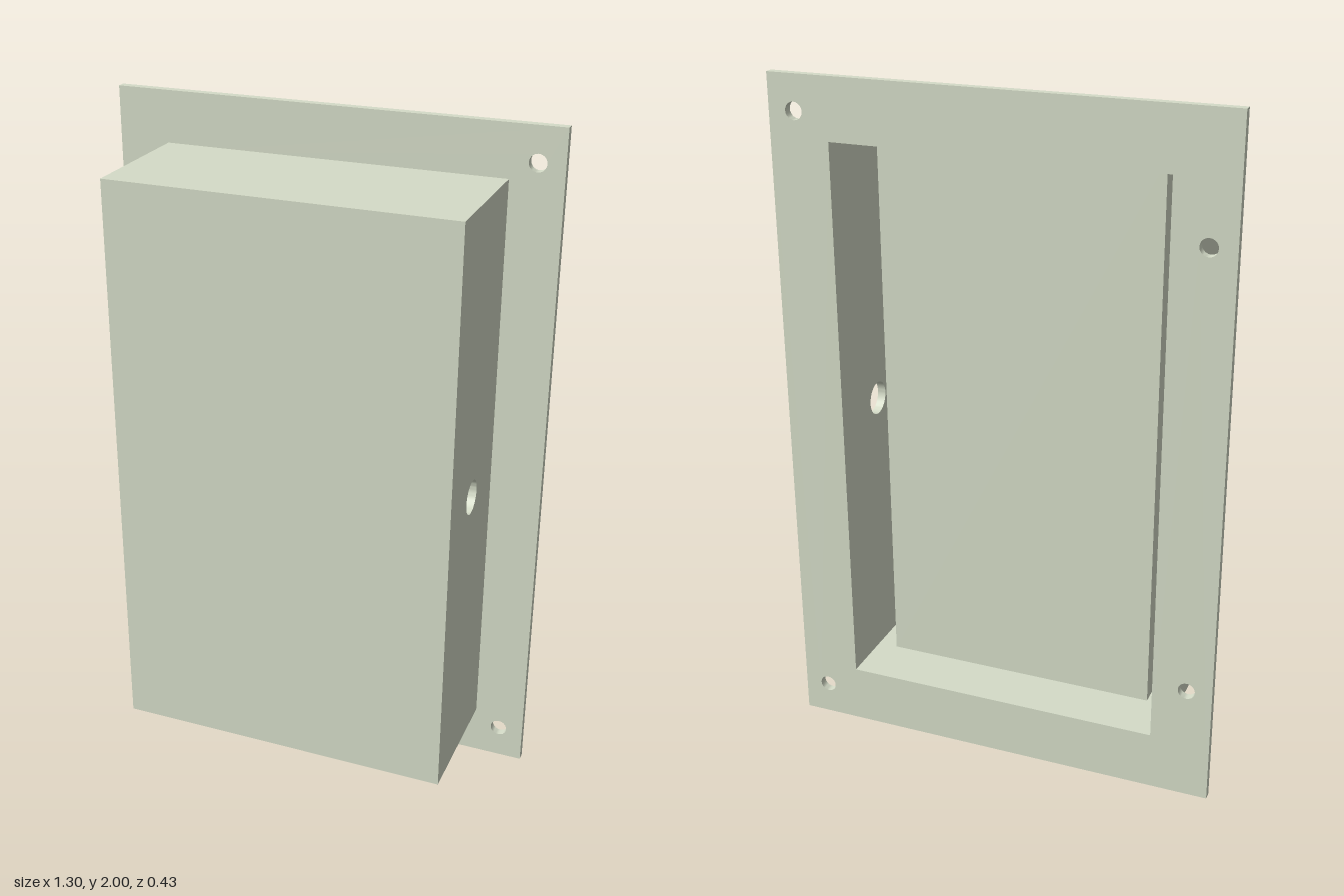
import * as THREE from 'three';
import { toCreasedNormals } from 'three/addons/utils/BufferGeometryUtils.js';

const W = 1.0, H = 1.7;               // outer size of the box
const T = 0.025;                      // thickness of flange and walls
const CY = 1.0;                       // height of the centre
const BACK = -0.2125, FRONT = 0.2125;
const SEAT = BACK + T;                // where the box meets the flange

const material = new THREE.MeshStandardMaterial({ color: 0xd5dcc8 });

function rect(target, x0, y0, x1, y1) {
  target.moveTo(x0, y0);
  target.lineTo(x1, y0);
  target.lineTo(x1, y1);
  target.lineTo(x0, y1);
  target.closePath();
  return target;
}

function roundHole(x, y, r) {
  return new THREE.Path().absarc(x, y, r, 0, Math.PI * 2, true);
}

function plate(shape, depth, curveSegments) {
  const g = new THREE.ExtrudeGeometry(shape, { depth, bevelEnabled: false, curveSegments });
  return toCreasedNormals(g, Math.PI / 4);
}

export function createModel() {
  const model = new THREE.Group();
  model.name = 'recessedBox';

  const add = (name, geometry, x, y, z) => {
    const mesh = new THREE.Mesh(geometry, material);
    mesh.name = name;
    mesh.position.set(x, y, z);
    model.add(mesh);
  };

  // Mounting flange with the box opening and four screw holes
  const flange = rect(new THREE.Shape(), -0.65, 0, 0.65, 2);
  const ox = W / 2 - T, oy = H / 2 - T;
  flange.holes.push(rect(new THREE.Path(), -ox, CY - oy, ox, CY + oy));
  for (const s of [-1, 1]) {
    flange.holes.push(roundHole(0.575, CY + s * 0.9, 0.025));
    flange.holes.push(roundHole(-0.575, CY + s * 0.65, 0.025));
  }
  add('flange', plate(flange, T, 10), 0, 0, BACK);

  // Closed front panel
  add('frontPanel', new THREE.BoxGeometry(W, H, T), 0, CY, FRONT - T / 2);

  // Side walls, each with a round cable hole; drawn in z and y, then turned to face x
  const side = rect(new THREE.Shape(), SEAT, CY - H / 2, FRONT - T, CY + H / 2);
  side.holes.push(roundHole(0.0125, CY, 0.05));
  const sideGeometry = plate(side, T, 24).rotateY(-Math.PI / 2);
  add('leftWall', sideGeometry, W / 2, 0, 0);
  add('rightWall', sideGeometry, -W / 2 + T, 0, 0);

  // Top and bottom walls between the sides
  const depth = FRONT - T - SEAT;
  const capGeometry = new THREE.BoxGeometry(W - 2 * T, T, depth);
  for (const [name, s] of [['topWall', 1], ['bottomWall', -1]]) {
    add(name, capGeometry, 0, CY + s * (H - T) / 2, SEAT + depth / 2);
  }

  // Inner block, full height, with a narrow gap to each side wall
  const blockBack = -0.0475, blockDepth = FRONT - T - blockBack;
  add('innerBlock', new THREE.BoxGeometry(0.83, H - 2 * T, blockDepth), 0, CY, blockBack + blockDepth / 2);

  return model;
}
